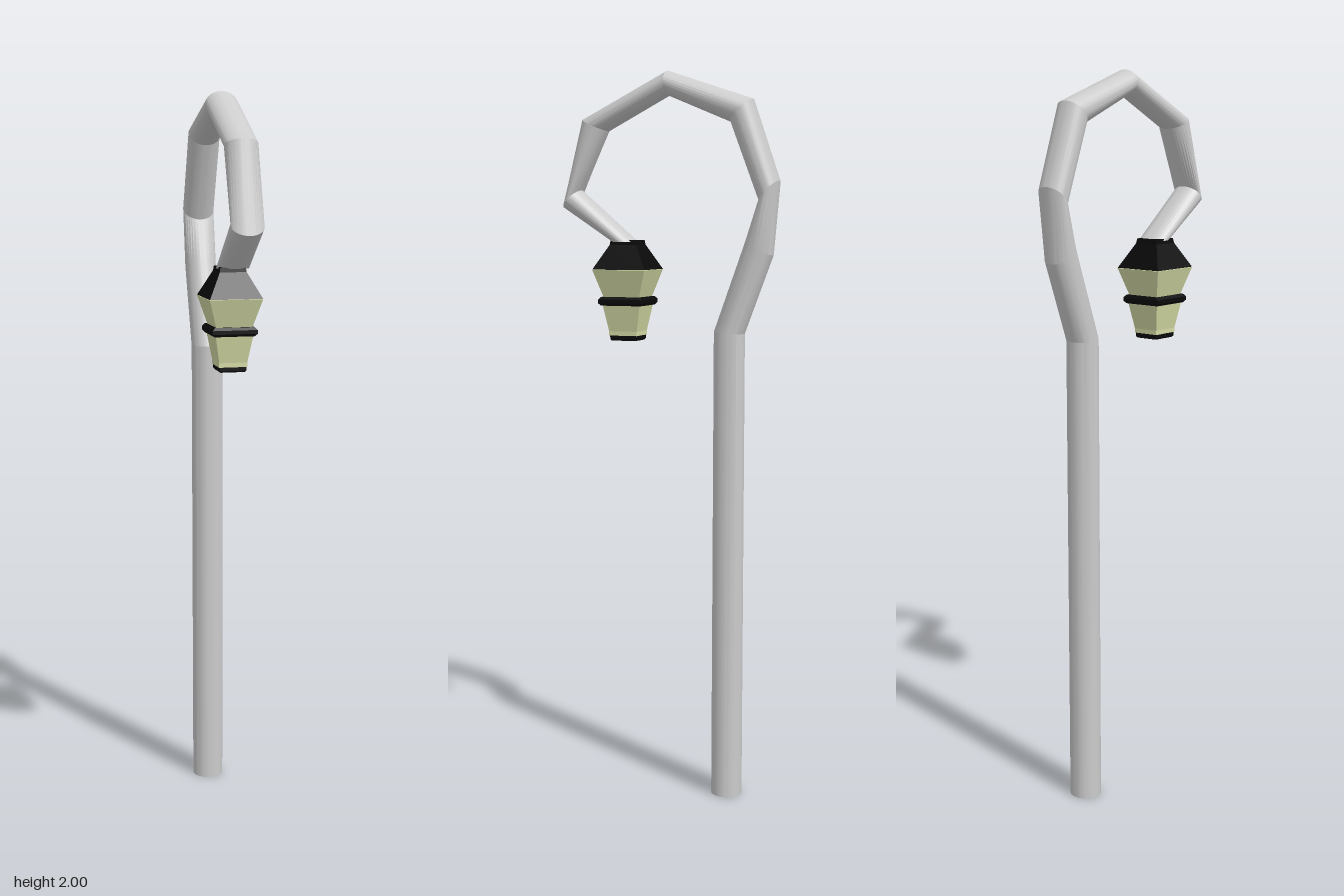
import * as THREE from 'three';
import { toCreasedNormals } from 'three/addons/utils/BufferGeometryUtils.js';

const grey = new THREE.MeshStandardMaterial({ color: 0xcccccc });
const black = new THREE.MeshStandardMaterial({ color: 0x0a0a0a, flatShading: true });
const glass = new THREE.MeshStandardMaterial({ color: 0xd5daa5, flatShading: true });

// Bent tube: each section is [outer z, outer y, inner z, inner y], an ellipse of constant x width
function bentTube(sections, radius, sides) {
  const mid = ([a, b, c, d]) => [(a + c) / 2, (b + d) / 2, (a + c) / 2, (b + d) / 2];
  const rings = [mid(sections[0]), ...sections, mid(sections[sections.length - 1])];
  const last = rings.length - 1;
  const positions = [], index = [];
  rings.forEach(([oz, oy, iz, iy], i) => {
    const r = i === 0 || i === last ? 0 : radius; // end rings collapse into caps
    for (let j = 0; j < sides; j++) {
      const t = (j / sides) * Math.PI * 2, c = Math.cos(t) / 2;
      positions.push(r * Math.sin(t), (oy + iy) / 2 + (oy - iy) * c, (oz + iz) / 2 + (oz - iz) * c);
      if (i === last) continue;
      const k = (j + 1) % sides;
      const a = i * sides + j, b = i * sides + k, d = a + sides, e = b + sides;
      if (i > 0) index.push(a, d, b);
      if (i < last - 1) index.push(b, d, e);
      else index.push(a, d, b);
      if (i === 0) index.push(b, d, e);
    }
  });
  const geometry = new THREE.BufferGeometry();
  geometry.setAttribute('position', new THREE.Float32BufferAttribute(positions, 3));
  geometry.setIndex(index);
  return toCreasedNormals(geometry, 0.24);
}

// Square tapered part from [half width, y] pairs, bottom to top, closed at both ends
function squarePart(name, profile, material) {
  const points = profile.map(([h, y]) => new THREE.Vector2(h * Math.SQRT2, y));
  points.unshift(new THREE.Vector2(0, profile[0][1]));
  points.push(new THREE.Vector2(0, profile[profile.length - 1][1]));
  const mesh = new THREE.Mesh(new THREE.LatheGeometry(points, 4, Math.PI / 4), material);
  mesh.name = name;
  return mesh;
}

export function createModel() {
  const group = new THREE.Group();
  group.name = 'streetLamp';

  // Straight pole running into the hooked arm
  const post = new THREE.Mesh(bentTube([
    [-0.215, 0, -0.129, 0],
    [-0.215, 1.3, -0.131, 1.305],
    [-0.294, 1.511, -0.217, 1.545],
    [-0.31, 1.707, -0.255, 1.654],
    [-0.236, 1.92, -0.175, 1.861],
    [0.003, 2.0, 0.003, 1.935],
    [0.252, 1.877, 0.18, 1.845],
    [0.31, 1.638, 0.26, 1.686],
    [0.164, 1.545, 0.095, 1.545],
  ], 0.044, 32), grey);
  post.name = 'poleAndHook';
  post.position.x = 0.006;
  group.add(post);

  // Square lantern hanging from the hook
  const lantern = new THREE.Group();
  lantern.name = 'lantern';
  lantern.position.set(-0.001, 0, 0.126);
  lantern.scale.z = 1.08;
  lantern.add(
    squarePart('roof', [[0.071, 1.47], [0.036, 1.537], [0.034, 1.55]], black),
    squarePart('upperGlass', [[0.046, 1.385], [0.071, 1.469]], glass),
    squarePart('middleBand', [[0.054, 1.371], [0.06, 1.378], [0.06, 1.388], [0.054, 1.395]], black),
    squarePart('lowerGlass', [[0.038, 1.288], [0.038, 1.3], [0.052, 1.38]], glass),
    squarePart('bottomCap', [[0.033, 1.274], [0.036, 1.278], [0.036, 1.288]], black),
  );
  group.add(lantern);
  return group;
}
